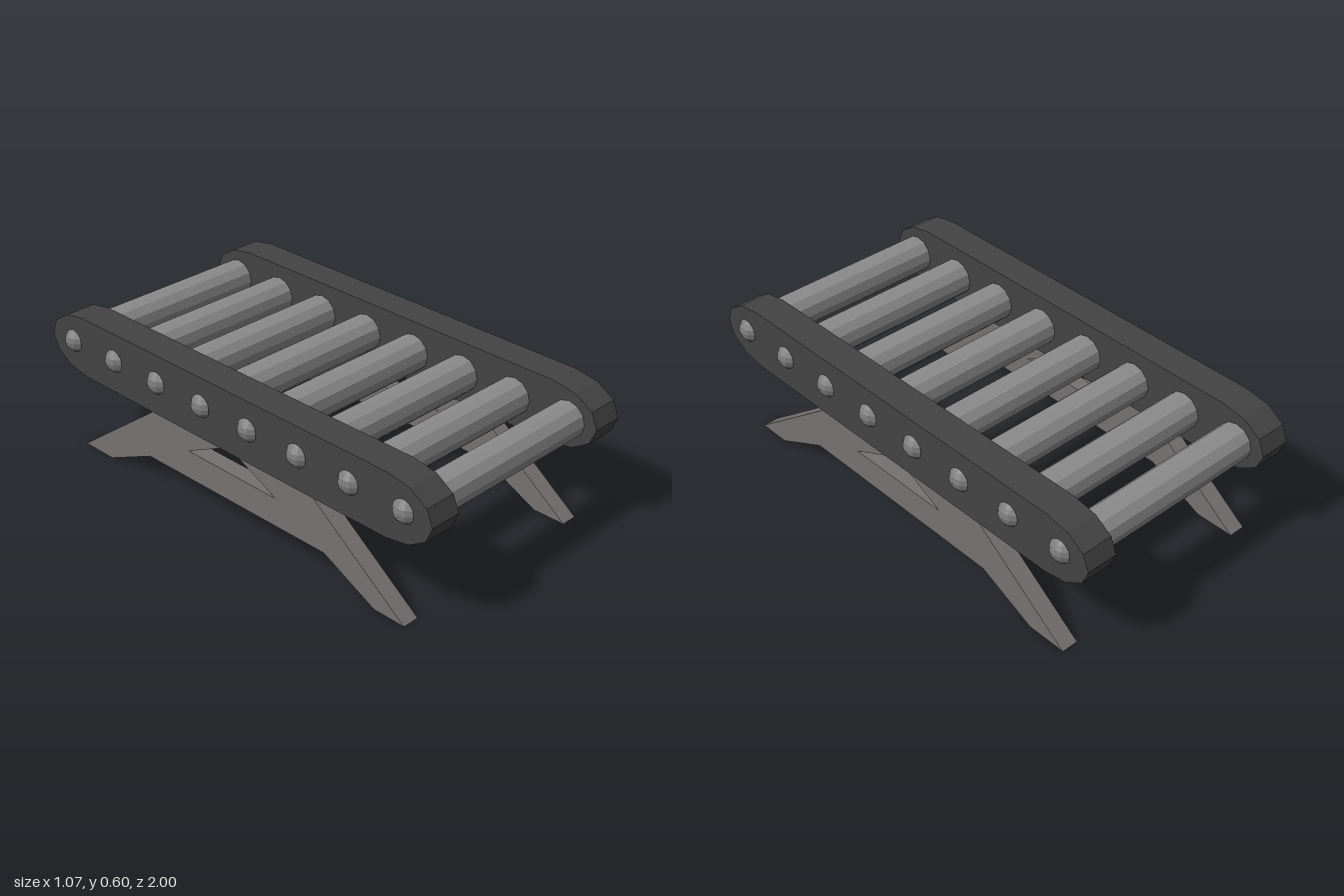
import * as THREE from 'three';

const mat = (color) => new THREE.MeshStandardMaterial({ color, flatShading: true });

// Extrudes an outline drawn in (z, y) along x, centred on x = 0
function slab(shape, width) {
  const g = new THREE.ExtrudeGeometry(shape, { depth: width, bevelEnabled: false });
  return g.translate(0, 0, -width / 2).rotateY(-Math.PI / 2);
}

const outline = (pts) => pts.map(([z, y]) => new THREE.Vector2(z, y));

export function createModel() {
  const model = new THREE.Group();
  model.name = 'rollerConveyor';
  const railMat = mat(0x444444), legMat = mat(0x777272), rollerMat = mat(0x8c8c8c), boltMat = mat(0x7c7c7c);

  const add = (name, geometry, material, x, y, z) => {
    const mesh = new THREE.Mesh(geometry, material);
    mesh.name = name;
    mesh.position.set(x, y, z);
    model.add(mesh);
  };

  // Side rail: long bar with faceted elliptical ends
  const railPts = [];
  for (const end of [1, -1]) {
    for (let i = 0; i <= 6; i++) {
      const a = (i / 6) * Math.PI;
      railPts.push([end * (0.8 + 0.2 * Math.sin(a)), 0.4725 - end * 0.1275 * Math.cos(a)]);
    }
  }
  const railGeo = slab(new THREE.Shape(outline(railPts)), 0.13);

  // Splayed leg frame with a triangular opening
  const legShape = new THREE.Shape(outline([
    [0.87, 0], [0.4, 0.347], [-0.4, 0.347], [-0.875, 0],
    [-0.71, 0], [-0.465, 0.112], [0.485, 0.118], [0.73, 0],
  ]));
  legShape.holes.push(new THREE.Path(outline([[0, 0.346], [0.24, 0.235], [-0.23, 0.235]])));
  const legGeo = slab(legShape, 0.07);

  const boltGeo = new THREE.SphereGeometry(0.053, 12, 8);
  const rollerGeo = new THREE.CylinderGeometry(0.075, 0.075, 0.8, 12).rotateZ(Math.PI / 2);

  for (const [side, s] of [['left', 1], ['right', -1]]) {
    add(side + 'Rail', railGeo, railMat, s * 0.44, 0, 0);
    add(side + 'Leg', legGeo, legMat, s * 0.445, 0, 0);
  }

  // Rollers with a rounded bolt head at each end
  for (let i = 0; i < 8; i++) {
    const z = 0.872 - i * 0.2485;
    add('roller' + (i + 1), rollerGeo, rollerMat, 0, 0.47, z);
    add('leftBolt' + (i + 1), boltGeo, boltMat, 0.482, 0.481, z);
    add('rightBolt' + (i + 1), boltGeo, boltMat, -0.482, 0.481, z);
  }
  return model;
}
